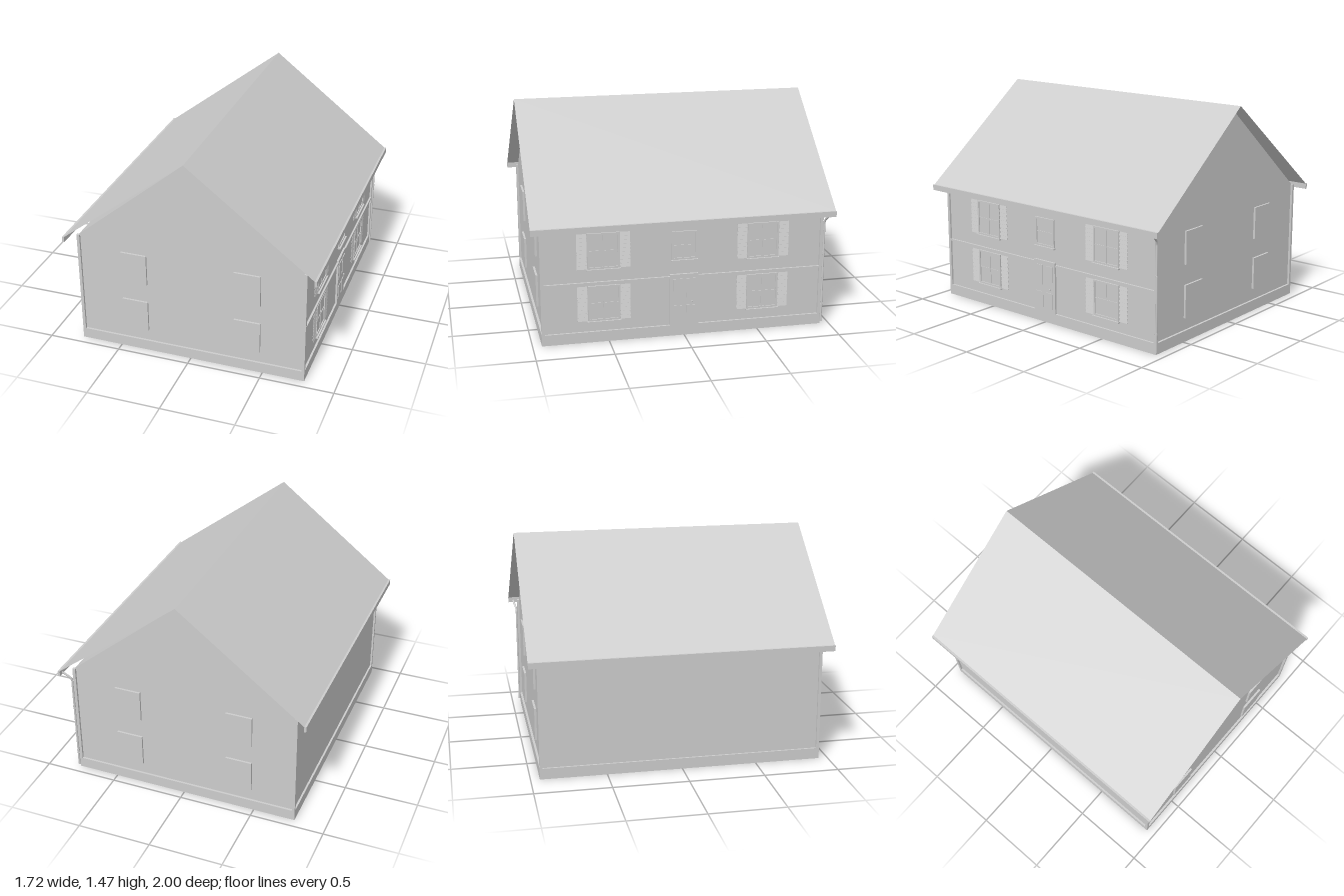
import * as THREE from 'three';

export function createModel() {
  const house = new THREE.Group();
  house.name = 'house';
  const grey = new THREE.MeshStandardMaterial({ color: 0xcccccc, side: THREE.DoubleSide });
  grey.name = 'plaster grey';

  function add(name, geometry, parent = house) {
    const mesh = new THREE.Mesh(geometry, grey);
    mesh.name = name;
    parent.add(mesh);
    return mesh;
  }
  // Box given by its limits on each axis
  function box(name, x0, x1, y0, y1, z0, z1, parent) {
    const g = new THREE.BoxGeometry(x1 - x0, y1 - y0, z1 - z0);
    g.translate((x0 + x1) / 2, (y0 + y1) / 2, (z0 + z1) / 2);
    return add(name, g, parent);
  }
  function group(name) {
    const g = new THREE.Group();
    g.name = name;
    house.add(g);
    return g;
  }

  // Plinth and gabled wall body
  const W = 0.772, D = 0.925;
  box('plinth', -0.785, 0.785, 0, 0.073, -0.94, 0.94);
  const gable = new THREE.Shape([
    [-W, 0.07], [W, 0.07], [W, 0.81], [0, 1.452], [-W, 0.81],
  ].map(([x, y]) => new THREE.Vector2(x, y)));
  const walls = new THREE.ExtrudeGeometry(gable, { depth: 2 * D, bevelEnabled: false });
  walls.translate(0, 0, -D);
  add('walls', walls);

  for (const sx of [-1, 1]) {
    // Corner posts
    for (const sz of [-1, 1]) {
      box('cornerPost', sx * 0.775 - 0.01, sx * 0.775 + 0.01, 0.07, 0.808, sz * 0.93 - 0.01, sz * 0.93 + 0.01);
    }
    // Thin roof sheet
    const slope = new THREE.BufferGeometry();
    const p = [0, 1.467, 1, sx * 0.846, 0.81, 1, sx * 0.846, 0.81, -1, 0, 1.467, -1];
    slope.setAttribute('position', new THREE.Float32BufferAttribute(p, 3));
    slope.setIndex(sx > 0 ? [0, 1, 2, 0, 2, 3] : [0, 2, 1, 0, 3, 2]);
    slope.computeVertexNormals();
    add('roofSlope', slope);
    // Gutter board
    box('gutter', sx * 0.853 - 0.007, sx * 0.853 + 0.007, 0.772, 0.81, -1, 1);
  }

  // Gable windows, two rows on front and back
  for (const sz of [-1, 1]) {
    for (const x of [-0.39, 0.39]) {
      for (const y of [0.155, 0.51]) {
        box('gableWindow', x - 0.09, x + 0.09, y, y + 0.22, sz * 0.928 - 0.011, sz * 0.928 + 0.011);
      }
    }
  }

  // Window on the entrance side: frame, bars and sill
  function sideWindow(z, y0, y1, half, shutters) {
    const g = group('sideWindow');
    const f = 0.012, x0 = 0.765;
    box('pane', x0, 0.775, y0, y1, z - half, z + half, g);
    for (const s of [-1, 1]) {
      const c = z + s * (half - f / 2);
      box('frameSide', x0, 0.782, y0, y1, c - f / 2, c + f / 2, g);
    }
    box('frameTop', x0, 0.782, y1 - f, y1, z - half, z + half, g);
    box('frameBottom', x0, 0.782, y0, y0 + f, z - half, z + half, g);
    const mid = (y0 + y1) / 2;
    box('crossBar', x0, 0.779, mid - 0.003, mid + 0.003, z - half, z + half, g);
    if (shutters) box('mullion', x0, 0.779, y0, y1, z - 0.006, z + 0.006, g);
    box('sill', x0, 0.793, y0 - 0.01, y0, z - half - 0.006, z + half + 0.006, g);
    if (!shutters) return;
    // Louvred shutters
    for (const s of [-1, 1]) {
      const c = z + s * (half + 0.036);
      for (let i = 0; i < 9; i++) {
        const y = y0 + (i + 0.5) * (y1 - y0) / 9;
        const slat = add('shutterSlat', new THREE.BoxGeometry(0.003, 0.024, 0.066), g);
        slat.position.set(0.775, y, c);
        slat.rotation.z = 0.25;
      }
    }
  }
  for (const z of [-0.53, 0.53]) {
    sideWindow(z, 0.145, 0.385, 0.105, true);
    sideWindow(z, 0.5, 0.74, 0.105, true);
  }
  sideWindow(0, 0.525, 0.717, 0.083, false);

  // Storey band, broken by the door
  for (const s of [-1, 1]) {
    const z0 = s * 0.095, z1 = s * 0.94;
    box('storeyBand', 0.765, 0.785, 0.4, 0.413, Math.min(z0, z1), Math.max(z0, z1));
  }

  // Door with raised panels and knob
  const door = group('door');
  box('doorLeaf', 0.765, 0.786, 0.07, 0.426, -0.092, 0.096, door);
  for (const z of [-0.042, 0.046]) {
    for (const [y0, y1] of [[0.1, 0.21], [0.26, 0.395]]) {
      box('doorPanel', 0.78, 0.79, y0, y1, z - 0.03, z + 0.03, door);
    }
  }
  const knob = add('doorKnob', new THREE.SphereGeometry(0.006, 12, 8), door);
  knob.position.set(0.794, 0.235, -0.05);

  // Downpipe with bend to the gutter and wall clips
  const path = new THREE.CurvePath();
  const pts = [[0.79, 0.02, -0.945], [0.79, 0.72, -0.945], [0.798, 0.74, -0.948], [0.85, 0.785, -0.965]]
    .map((q) => new THREE.Vector3(...q));
  for (let i = 0; i < 3; i++) path.add(new THREE.LineCurve3(pts[i], pts[i + 1]));
  add('downpipe', new THREE.TubeGeometry(path, 60, 0.007, 10, false));
  for (const y of [0.14, 0.51]) {
    const clip = add('pipeClip', new THREE.CylinderGeometry(0.009, 0.009, 0.012, 12));
    clip.position.set(0.79, y, -0.945);
  }
  return house;
}
